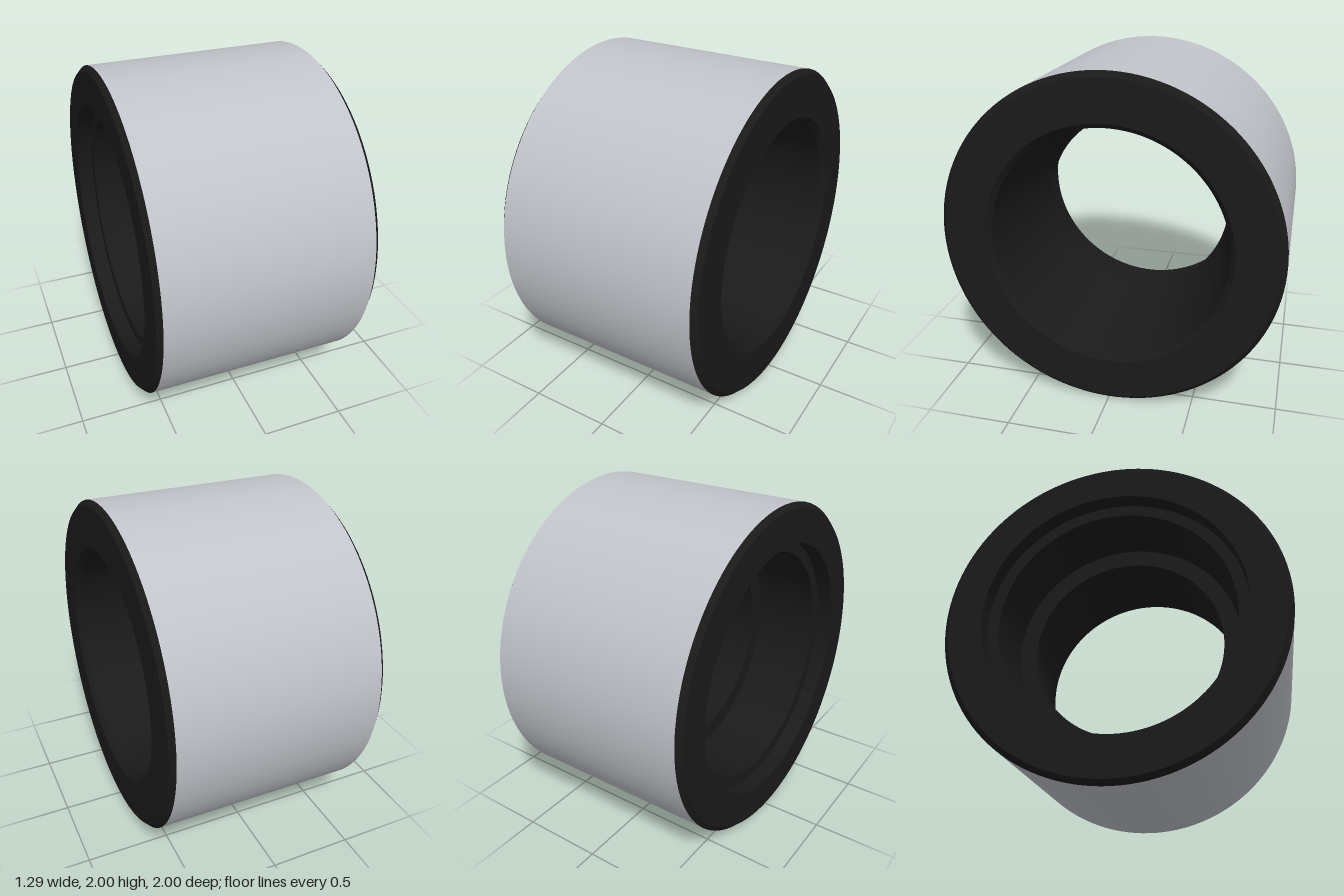
import * as THREE from 'three';

const H = 0.645; // half length along x

export function createModel() {
  const group = new THREE.Group();
  group.name = 'bushing';
  const steel = new THREE.MeshStandardMaterial({ color: 0xc0c3c9 });
  const black = new THREE.MeshStandardMaterial({ color: 0x1a1a1a });

  // Each straight run of the section is its own lathe, so edges stay sharp.
  const addPart = (name, material, points) => {
    const part = new THREE.Group();
    part.name = name;
    for (let i = 0; i < points.length - 1; i++) {
      const run = [points[i], points[i + 1]].map(([x, r]) => new THREE.Vector2(r, x));
      const geometry = new THREE.LatheGeometry(run, 128);
      geometry.rotateZ(-Math.PI / 2);
      geometry.translate(0, 1, 0);
      const mesh = new THREE.Mesh(geometry, material);
      mesh.name = name + 'Surface' + (i + 1);
      part.add(mesh);
    }
    group.add(part);
  };

  // Profiles are lists of [x, radius], running round the section.
  addPart('outerSleeve', steel, [[-H + 0.03, 1], [H - 0.03, 1]]);
  // Chamfered rim and flat end
  addPart('leftEndFace', black, [[H - 0.03, 1], [H, 0.97], [H, 0.725]]);
  // Chamfered mouth and taper narrowing to the throat
  addPart('taperedBore', black, [[H, 0.725], [H - 0.03, 0.695], [-0.145, 0.592]]);
  // Shoulder, straight bore and shallow counterbore
  addPart('steppedBore', black, [[-0.145, 0.592], [-0.145, 0.7], [-H + 0.1, 0.7], [-H + 0.1, 0.77], [-H, 0.77]]);
  addPart('rightEndFace', black, [[-H, 0.77], [-H, 0.97], [-H + 0.03, 1]]);
  return group;
}
